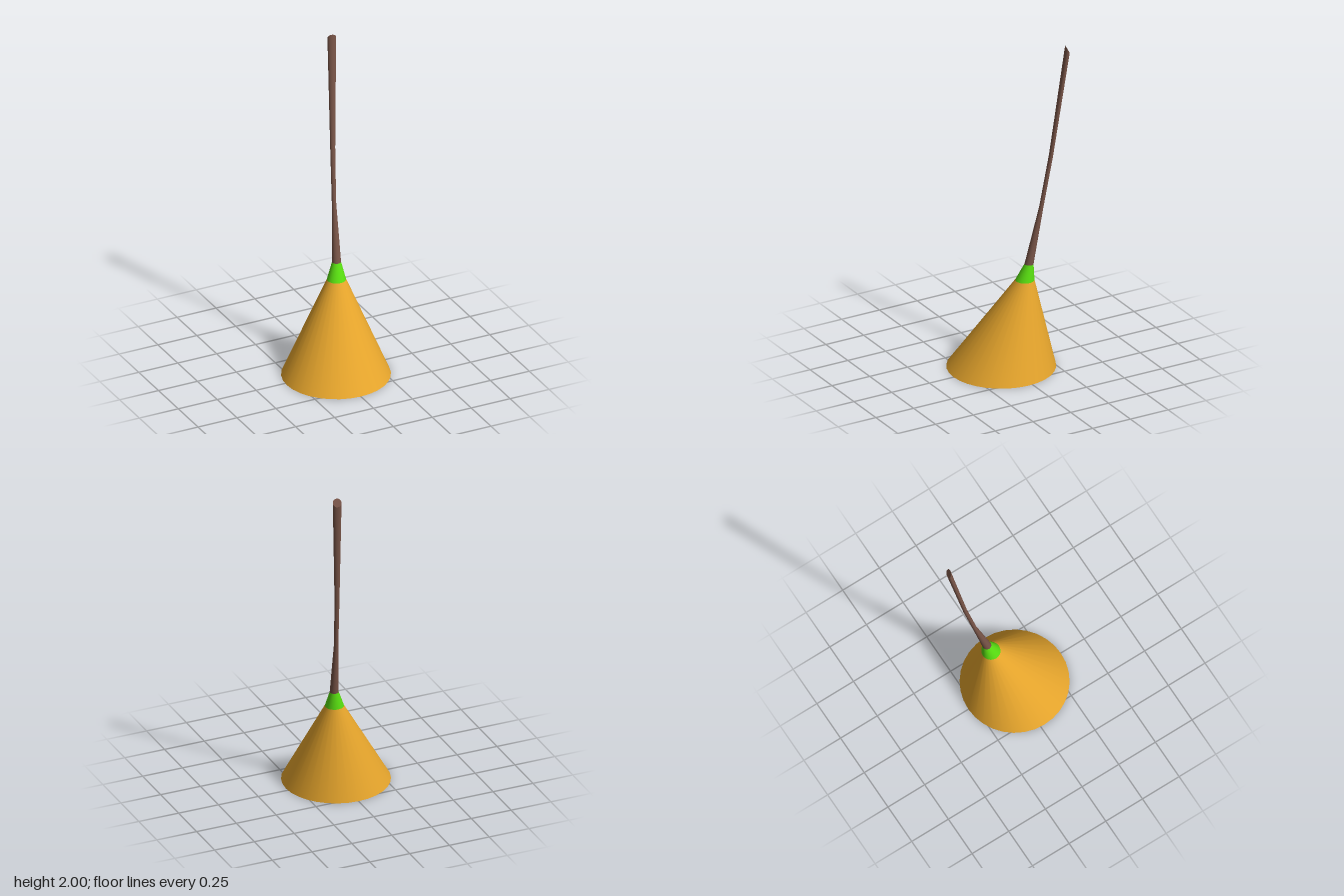
import * as THREE from 'three';

const SIDES = 32;
const UP = new THREE.Vector3(0, 1, 0);

// One ring: centre x, y, z, radius and backward tilt in degrees
function ringPoints([x, y, z, r, tilt = 0]) {
  const t = THREE.MathUtils.degToRad(tilt);
  const normal = new THREE.Vector3(0.26 * Math.sin(t), Math.cos(t), -0.966 * Math.sin(t)).normalize();
  const q = new THREE.Quaternion().setFromUnitVectors(UP, normal);
  const points = [];
  for (let i = 0; i <= SIDES; i++) {
    const a = (i / SIDES) * Math.PI * 2;
    points.push(new THREE.Vector3(Math.cos(a) * r, 0, -Math.sin(a) * r).applyQuaternion(q).add(new THREE.Vector3(x, y, z)));
  }
  return points;
}

function buildGeometry(points, index) {
  const g = new THREE.BufferGeometry().setFromPoints(points);
  g.setIndex(index);
  g.computeVertexNormals();
  return g;
}

// Smooth skin through the rings, from bottom to top
function loft(rings) {
  const points = rings.flatMap(ringPoints);
  const index = [];
  const row = SIDES + 1;
  for (let j = 0; j < rings.length - 1; j++) {
    for (let i = 0; i < SIDES; i++) {
      const a = j * row + i, b = a + 1, c = a + row, d = c + 1;
      index.push(a, b, d, a, d, c);
    }
  }
  const g = buildGeometry(points, index);
  // Share normals across the seam
  const n = g.attributes.normal;
  for (let j = 0; j < rings.length; j++) {
    const s = j * row, e = s + SIDES;
    const v = new THREE.Vector3().fromBufferAttribute(n, s).add(new THREE.Vector3().fromBufferAttribute(n, e)).normalize();
    n.setXYZ(s, v.x, v.y, v.z);
    n.setXYZ(e, v.x, v.y, v.z);
  }
  return g;
}

// Flat disc closing one ring
function cap(ring, facingUp) {
  const points = [...ringPoints(ring), new THREE.Vector3(ring[0], ring[1], ring[2])];
  const index = [];
  for (let i = 0; i < SIDES; i++) {
    index.push(SIDES + 1, facingUp ? i : i + 1, facingUp ? i + 1 : i);
  }
  return buildGeometry(points, index);
}

export function createModel() {
  const group = new THREE.Group();
  const add = (name, geometry, material) => {
    const mesh = new THREE.Mesh(geometry, material);
    mesh.name = name;
    group.add(mesh);
  };
  const straw = new THREE.MeshStandardMaterial({ color: 0xe6a52c });
  const green = new THREE.MeshStandardMaterial({ color: 0x58de10 });
  const wood = new THREE.MeshStandardMaterial({ color: 0x795548 });

  const base = [0, 0, 0.025, 0.315];
  const neck = [0.064, 0.54, -0.095, 0.055];
  const collar = [0.075, 0.64, -0.116, 0.026];
  const tip = [0.151, 1.9775, -0.326, 0.0253, 62];

  // Leaning bristle cone
  add('bristles', loft([base, neck]), straw);
  add('bristleUnderside', cap(base, false), straw);

  // Binding between bristles and handle
  add('binding', loft([neck, collar]), green);

  // Bent handle with a slanted end
  add('handle', loft([
    collar,
    [0.094, 0.99, -0.186, 0.0125, 22],
    [0.113, 1.31, -0.239, 0.0145, 42],
    tip,
  ]), wood);
  add('handleEnd', cap(tip, true), wood);

  return group;
}
